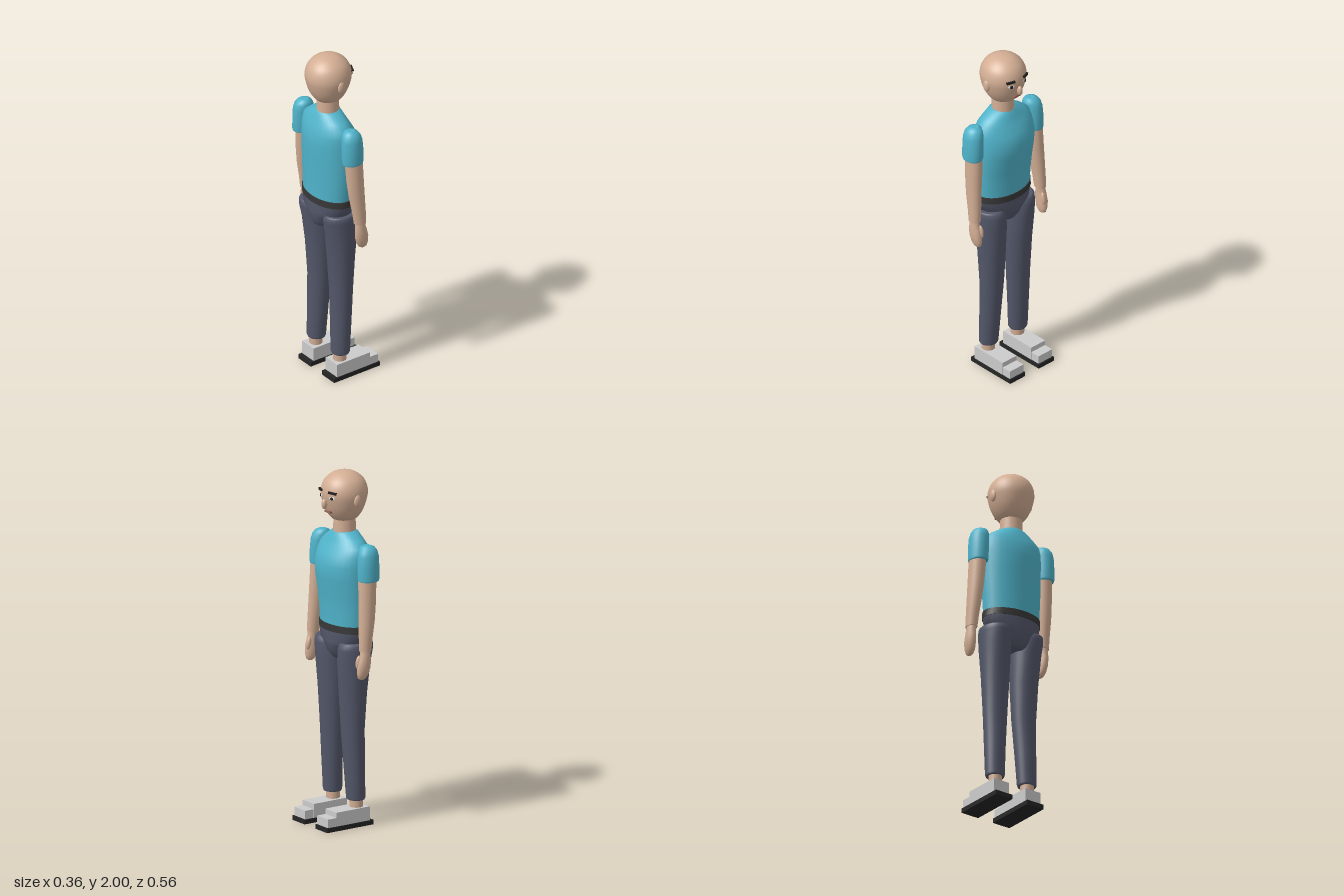
import * as THREE from 'three';

const material = (name, color) => Object.assign(new THREE.MeshStandardMaterial({ color }), { name });

// Lofts ellipses [y, cx, cz, rx, rz], listed bottom up, into a capped smooth solid.
function loft(rings, sides = 28) {
  const pos = [], idx = [], row = sides + 1;
  const addRing = ([y, cx, cz, rx, rz]) => {
    for (let j = 0; j <= sides; j++) {
      const t = (j % sides) / sides * Math.PI * 2;
      pos.push(cx + rx * Math.cos(t), y, cz + rz * Math.sin(t));
    }
  };
  rings.forEach(addRing);
  for (let i = 0; i < rings.length - 1; i++) {
    for (let j = 0; j < sides; j++) {
      const a = i * row + j, c = a + row;
      idx.push(a, c, a + 1, a + 1, c, c + 1);
    }
  }
  [rings[0], rings[rings.length - 1]].forEach((r, top) => {
    const base = pos.length / 3;
    addRing(r);
    pos.push(r[1], r[0], r[2]);
    for (let j = 0; j < sides; j++) {
      const a = base + j;
      if (top) idx.push(base + row, a + 1, a);
      else idx.push(base + row, a, a + 1);
    }
  });
  const g = new THREE.BufferGeometry();
  g.setAttribute('position', new THREE.Float32BufferAttribute(pos, 3));
  g.setIndex(idx);
  g.computeVertexNormals();
  // Match the normals on both sides of the seam
  const n = g.attributes.normal;
  for (let i = 0; i < rings.length; i++) {
    const a = i * row, b = a + sides;
    const v = new THREE.Vector3().fromBufferAttribute(n, a)
      .add(new THREE.Vector3().fromBufferAttribute(n, b)).normalize();
    n.setXYZ(a, v.x, v.y, v.z);
    n.setXYZ(b, v.x, v.y, v.z);
  }
  return g;
}

export function createModel() {
  const model = new THREE.Group();
  model.name = 'standingMan';
  const skin = material('skin', 0xd3ae94);
  const shirt = material('shirt', 0x50b4cb);
  const trousers = material('trousers', 0x535769);
  const belt = material('belt', 0x383838);
  const shoe = material('shoe', 0xcccccc);
  const sole = material('sole', 0x252525);
  const white = material('eyeWhite', 0xf0f0f0);
  const dark = material('browAndPupil', 0x241f1f);
  const lip = material('lip', 0x99695c);

  const add = (name, geometry, mat, x = 0, y = 0, z = 0, parent = model) => {
    const m = new THREE.Mesh(geometry, mat);
    m.name = name;
    m.position.set(x, y, z);
    parent.add(m);
    return m;
  };
  const ellipsoid = (name, mat, x, y, z, rx, ry, rz, parent = model) => {
    const m = add(name, new THREE.SphereGeometry(1, 20, 14), mat, x, y, z, parent);
    m.scale.set(rx, ry, rz);
    return m;
  };

  // Torso, belt and pelvis
  add('torso', loft([
    [1.135, -0.053, 0, 0.112, 0.174], [1.22, -0.052, 0, 0.114, 0.179],
    [1.30, -0.049, 0, 0.119, 0.184], [1.40, -0.042, 0, 0.129, 0.189],
    [1.48, -0.04, 0, 0.135, 0.19], [1.54, -0.048, 0, 0.121, 0.187],
    [1.585, -0.054, 0, 0.1, 0.178], [1.62, -0.055, 0, 0.083, 0.137],
    [1.65, -0.055, 0, 0.071, 0.09], [1.662, -0.055, 0, 0.06, 0.066],
  ], 32), shirt);
  add('belt', loft([[1.103, -0.053, 0, 0.116, 0.181], [1.142, -0.053, 0, 0.116, 0.179]], 32), belt);
  add('pelvis', loft([
    [0.937, -0.06, 0, 0.066, 0.05], [0.95, -0.06, 0, 0.082, 0.07],
    [0.98, -0.056, 0, 0.1, 0.094], [1.02, -0.054, 0, 0.11, 0.12],
    [1.045, -0.053, 0, 0.112, 0.165], [1.105, -0.053, 0, 0.112, 0.178],
  ], 32), trousers);

  // Neck and egg-shaped head
  add('neck', new THREE.CylinderGeometry(0.06, 0.064, 0.12, 28), skin, -0.053, 1.7, 0);
  const outline = new THREE.SplineCurve([
    [0.045, 1.72], [0.07, 1.732], [0.092, 1.757], [0.112, 1.795], [0.126, 1.84], [0.132, 1.88],
    [0.125, 1.92], [0.105, 1.956], [0.07, 1.984], [0.035, 1.997], [0, 2],
  ].map(p => new THREE.Vector2(...p))).getPoints(30);
  outline[outline.length - 1].x = 0;
  const head = add('head', new THREE.LatheGeometry([new THREE.Vector2(0, 1.72), ...outline], 32), skin, -0.051);
  head.scale.z = 0.97;

  // Face
  ellipsoid('nose', skin, 0.083, 1.828, 0, 0.017, 0.029, 0.015);
  add('mouth', new THREE.BoxGeometry(0.03, 0.012, 0.052), lip, 0.048, 1.78, 0);

  for (const s of [1, -1]) {
    const side = s > 0 ? 'left' : 'right';
    const mirrored = rings => rings.map(([y, cx, cz, rx, rz]) => [y, cx, cz * s, rx, rz]);

    // Ear, eye and brow, turned to follow the head
    ellipsoid(side + 'Ear', skin, -0.053, 1.85, s * 0.124, 0.023, 0.036, 0.014);
    const eye = new THREE.Group();
    eye.name = side + 'Eye';
    eye.position.set(-0.051, 1.867, 0);
    eye.rotation.y = -s * 0.4;
    model.add(eye);
    ellipsoid(side + 'EyeWhite', white, 0.127, 0, 0, 0.007, 0.012, 0.019, eye);
    ellipsoid(side + 'Pupil', dark, 0.132, 0, 0, 0.005, 0.01, 0.01, eye);
    const brow = add(side + 'Brow', new THREE.BoxGeometry(0.014, 0.012, 0.05), dark, 0.131, 0.031, s * 0.004, eye);
    brow.rotation.x = s * 0.08;

    // Sleeve and arm
    add(side + 'Sleeve', loft(mirrored([
      [1.42, -0.053, 0.228, 0.06, 0.05], [1.43, -0.053, 0.228, 0.063, 0.053],
      [1.5, -0.053, 0.226, 0.064, 0.054], [1.56, -0.054, 0.223, 0.061, 0.053],
      [1.59, -0.055, 0.219, 0.054, 0.049], [1.61, -0.055, 0.214, 0.04, 0.039],
      [1.619, -0.055, 0.211, 0.02, 0.022],
    ])), shirt);
    add(side + 'Arm', loft(mirrored([
      [1.03, -0.017, 0.247, 0.036, 0.031], [1.1, -0.022, 0.244, 0.04, 0.034],
      [1.2, -0.033, 0.239, 0.047, 0.039], [1.3, -0.04, 0.233, 0.051, 0.043],
      [1.44, -0.046, 0.226, 0.053, 0.046],
    ])), skin);

    // Hand with thumb
    add(side + 'Hand', loft(mirrored([
      [0.868, 0.004, 0.244, 0.012, 0.009], [0.876, 0.003, 0.244, 0.025, 0.017],
      [0.9, -0.002, 0.246, 0.036, 0.024], [0.94, -0.007, 0.249, 0.041, 0.028],
      [0.98, -0.013, 0.25, 0.037, 0.026], [1.01, -0.016, 0.249, 0.031, 0.025],
      [1.035, -0.017, 0.247, 0.031, 0.025],
    ]), 20), skin);
    const thumb = ellipsoid(side + 'Thumb', skin, 0.022, 0.968, s * 0.235, 0.014, 0.038, 0.013);
    thumb.rotation.z = 0.2;

    // Trouser leg and ankle
    add(side + 'TrouserLeg', loft(mirrored([
      [0.148, -0.05, 0.11, 0.048, 0.051], [0.158, -0.05, 0.11, 0.052, 0.056],
      [0.35, -0.043, 0.105, 0.058, 0.062], [0.55, -0.037, 0.099, 0.064, 0.071],
      [0.76, -0.038, 0.099, 0.078, 0.08], [0.93, -0.041, 0.104, 0.095, 0.086],
      [1.01, -0.048, 0.11, 0.104, 0.084], [1.038, -0.05, 0.112, 0.1, 0.081],
      [1.046, -0.05, 0.112, 0.09, 0.073],
    ])), trousers);
    add(side + 'Ankle', new THREE.CylinderGeometry(0.039, 0.037, 0.1, 24), skin, -0.053, 0.13, s * 0.11);

    // Shoe: sole, low toe and raised upper
    add(side + 'Sole', new THREE.BoxGeometry(0.312, 0.026, 0.114), sole, 0.024, 0.013, s * 0.108);
    add(side + 'ShoeToe', new THREE.BoxGeometry(0.28, 0.05, 0.103), shoe, 0.032, 0.05, s * 0.108);
    add(side + 'ShoeUpper', new THREE.BoxGeometry(0.224, 0.08, 0.105), shoe, 0.003, 0.065, s * 0.108);
  }
  return model;
}
